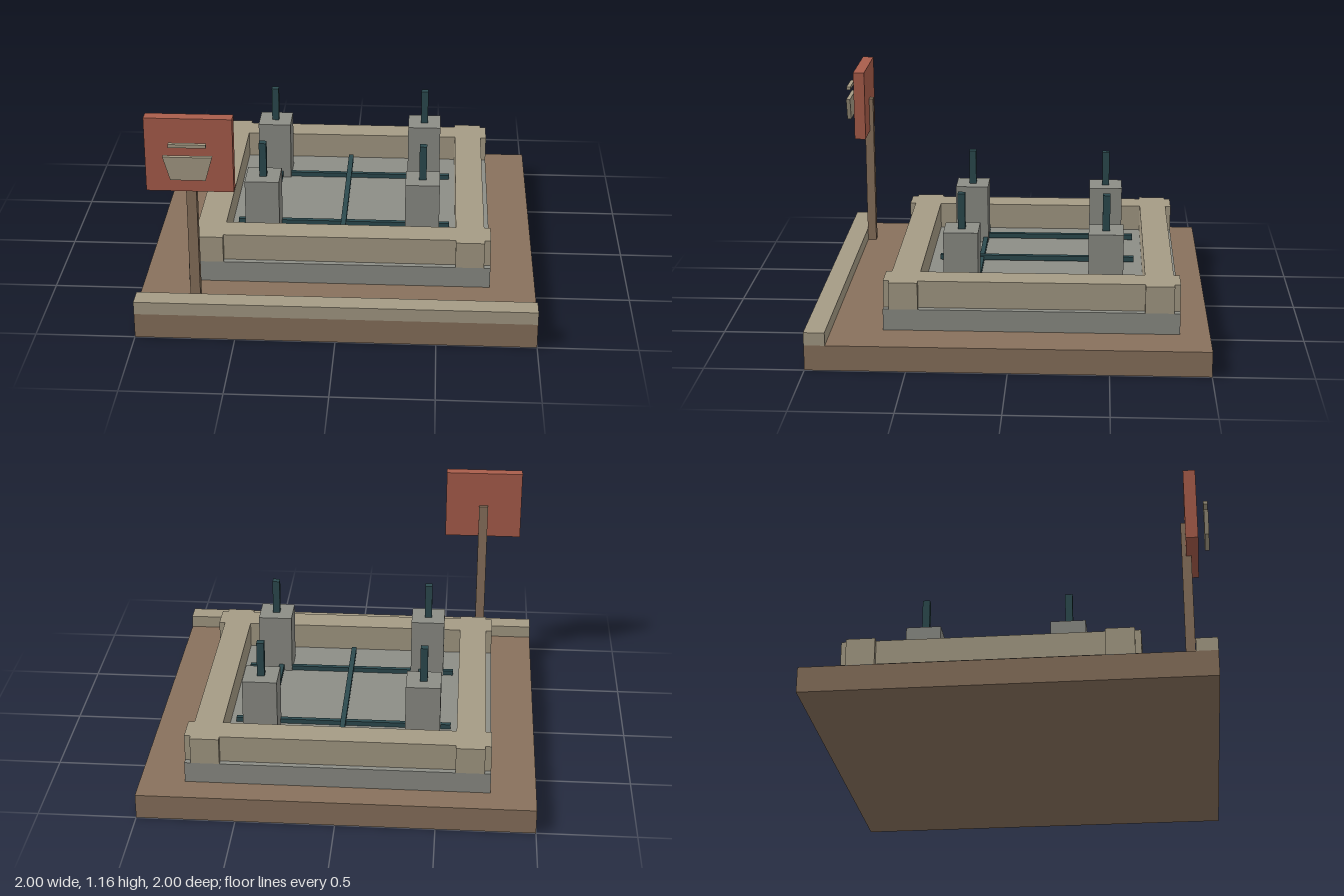
import * as THREE from 'three';

const material = (name, color) => {
  const m = new THREE.MeshStandardMaterial({ color });
  m.name = name;
  return m;
};

export function createModel() {
  const soil = material('brown earth and timber', 0x88715c);
  const stone = material('tan stone', 0xa59b85);
  const concrete = material('grey concrete', 0x8c8d86);
  const steel = material('dark teal steel', 0x2c4a4f);
  const red = material('red board', 0xa95d4b);

  const model = new THREE.Group();
  model.name = 'foundation site';

  // Box given by its lower and upper limits on each axis
  const box = (name, mat, [x0, x1], [y0, y1], [z0, z1], parent = model) => {
    const mesh = new THREE.Mesh(new THREE.BoxGeometry(x1 - x0, y1 - y0, z1 - z0), mat);
    mesh.position.set((x0 + x1) / 2, (y0 + y1) / 2, (z0 + z1) / 2);
    mesh.name = name;
    parent.add(mesh);
    return mesh;
  };
  const around = (c, size) => [c - size / 2, c + size / 2];

  // Ground, front kerb and slab
  box('ground', soil, [-1, 1], [0, 0.13], [-1, 1]);
  box('kerb', stone, [-1, 1], [0.13, 0.197], [0.895, 1]);
  box('slab', concrete, [-0.77, 0.77], [0.13, 0.24], [-0.85, 0.635]);

  // Low wall: a ring with raised blocks beside each notched corner
  const midZ = -0.1075;
  const corner = [[0.77, 0.5675], [0.77, 0.7125], [0.738, 0.7125], [0.738, 0.7425], [0.592, 0.7425], [0.592, 0.7125]];
  corner.unshift([0.738, 0.5675]);
  const outline = [];
  for (const [sx, sz] of [[1, 1], [-1, 1], [-1, -1], [1, -1]]) {
    const pts = corner.map(([x, z]) => new THREE.Vector2(sx * x, sz * z));
    outline.push(...(sx * sz > 0 ? pts : pts.reverse()));
  }
  const ring = new THREE.Shape(outline);
  const hole = [[-1, -1], [-1, 1], [1, 1], [1, -1]];
  ring.holes.push(new THREE.Path(hole.map(([x, z]) => new THREE.Vector2(x * 0.592, z * 0.5675))));
  const wallGeometry = new THREE.ExtrudeGeometry(ring, { depth: 0.14, bevelEnabled: false });
  wallGeometry.rotateX(-Math.PI / 2);
  const wall = new THREE.Mesh(wallGeometry, stone);
  wall.name = 'low wall';
  wall.position.set(0, 0.24, midZ);
  model.add(wall);

  // Reinforcing grid on the slab
  const grid = new THREE.Group();
  grid.name = 'reinforcing grid';
  model.add(grid);
  for (const z of [-0.408, 0.187]) box('crossBar', steel, [-0.56, 0.56], [0.243, 0.268], around(z, 0.025), grid);
  for (const x of [-0.385, 0, 0.385]) box('longBar', steel, around(x, 0.027), [0.25, 0.277], [-0.63, 0.41], grid);

  // Four piers with starter rods
  for (const x of [-0.417, 0.417]) {
    for (const z of [-0.478, 0.262]) {
      const pier = new THREE.Group();
      pier.name = 'pier';
      model.add(pier);
      box('pierBlock', concrete, around(x, 0.178), [0.24, 0.56], around(z, 0.178), pier);
      box('starterRod', steel, around(x, 0.038), [0.56, 0.747], around(z, 0.038), pier);
    }
  }

  // Sign with a simple bucket symbol standing off its front
  const sign = new THREE.Group();
  sign.name = 'sign';
  model.add(sign);
  const signX = -0.703;
  box('signPost', soil, around(signX, 0.05), [0.13, 0.97], [0.848, 0.896], sign);
  box('signBoard', red, around(signX, 0.425), [0.782, 1.163], [0.87, 0.931], sign);
  box('symbolBar', stone, around(signX, 0.182), [1.036, 1.053], [0.966, 0.988], sign);
  const bucket = new THREE.Shape([[-0.085, 0.867], [0.085, 0.867], [0.119, 0.987], [-0.119, 0.987]]
    .map(([x, y]) => new THREE.Vector2(x, y)));
  const symbol = new THREE.Mesh(new THREE.ExtrudeGeometry(bucket, { depth: 0.022, bevelEnabled: false }), stone);
  symbol.name = 'symbolBucket';
  symbol.position.set(signX, 0, 0.966);
  sign.add(symbol);

  return model;
}
